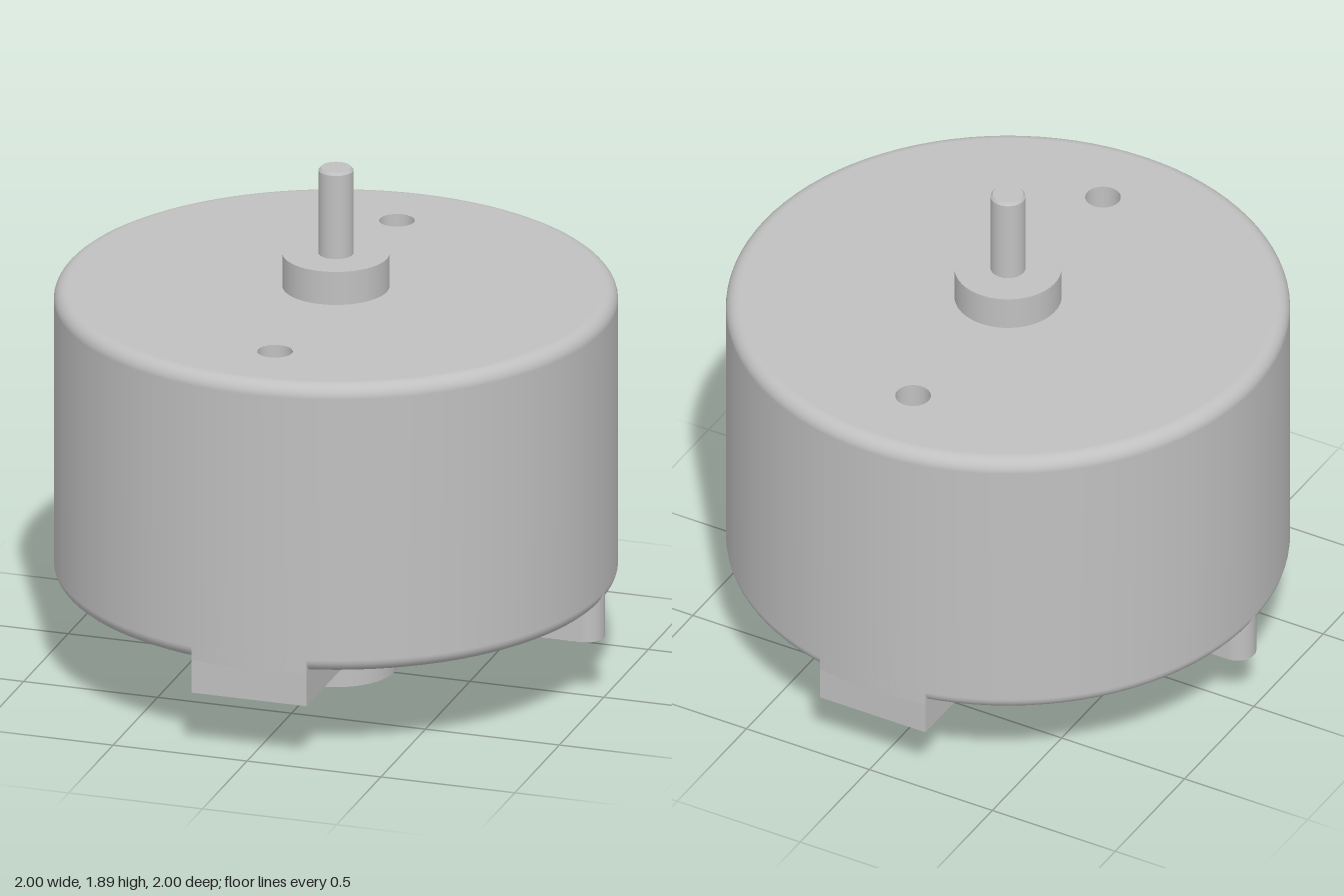
import * as THREE from 'three';

export function createModel() {
  const group = new THREE.Group();
  group.name = 'electricMotor';
  const metal = new THREE.MeshStandardMaterial({ color: 0xc0c0c0 });
  metal.name = 'grey metal';

  const add = (name, geometry, y = 0, z = 0) => {
    const mesh = new THREE.Mesh(geometry, metal);
    mesh.name = name;
    mesh.position.set(0, y, z);
    group.add(mesh);
  };
  const lathe = (points, segments = 96) =>
    new THREE.LatheGeometry(points.map(([r, y]) => new THREE.Vector2(r, y)), segments);
  const cylinder = (name, r, bottom, top) =>
    add(name, new THREE.CylinderGeometry(r, r, top - bottom, 64), (bottom + top) / 2);
  // Extrudes a plan outline upward from bottom to top
  const slab = (name, shape, bottom, top) => {
    const geometry = new THREE.ExtrudeGeometry(shape, { depth: top - bottom, bevelEnabled: false, curveSegments: 24 });
    add(name, geometry.rotateX(-Math.PI / 2), bottom);
  };

  const bottom = 0.35, top = 1.44, fillet = 0.05;
  const holeR = 0.063, holeZ = 0.685, holeDepth = 0.12;

  // Can with rounded lower and upper rims
  const arc = (cy, start) => Array.from({ length: 9 }, (_, i) => {
    const a = start + (i / 8) * Math.PI / 2;
    return [1 - fillet + fillet * Math.cos(a), cy + fillet * Math.sin(a)];
  });
  add('can', lathe([[0, bottom], ...arc(bottom + fillet, -Math.PI / 2), ...arc(top - fillet, 0)]));

  // Top face with two screw holes
  const face = new THREE.Shape().absarc(0, 0, 1 - fillet, 0, Math.PI * 2);
  for (const s of [-1, 1]) {
    face.holes.push(new THREE.Path().absarc(0, s * holeZ, holeR, 0, Math.PI * 2, true));
    // Downward profile makes the wall face inward
    add('screwHoleWall', lathe([[holeR, top], [holeR, top - holeDepth]], 48), 0, s * holeZ);
    add('screwHoleFloor', new THREE.CircleGeometry(holeR, 48).rotateX(-Math.PI / 2), top - holeDepth, s * holeZ);
  }
  add('topFace', new THREE.ShapeGeometry(face, 48).rotateX(-Math.PI / 2), top);

  // Upper bearing boss and shaft with a slightly eased tip
  cylinder('bearingBoss', 0.19, top, 1.565);
  cylinder('shaft', 0.062, 1.565, 1.88);
  add('shaftTip', new THREE.CylinderGeometry(0.054, 0.062, 0.01, 64), 1.885);

  // Lower hub
  cylinder('lowerHub', 0.216, 0, 0.225);

  // Wide rib running front to back, with flat ends
  const w = 0.215, endZ = 0.976;
  add('wideRib', new THREE.BoxGeometry(w * 2, 0.175, endZ * 2), 0.3125);

  // Square rim corners above the ends of the wide rib
  const a = Math.asin(w);
  const rim = new THREE.Shape();
  rim.absarc(0, 0, 1, Math.PI / 2 - a, Math.PI / 2 + a);
  rim.absarc(0, 0, 1, -Math.PI / 2 - a, -Math.PI / 2 + a);
  rim.closePath();
  slab('rimPads', rim, bottom, bottom + fillet);

  // Narrow rib running side to side, with rounded ends
  const n = 0.067;
  const rib = new THREE.Shape();
  rib.absarc(1 - n, 0, n, -Math.PI / 2, Math.PI / 2);
  rib.absarc(-1 + n, 0, n, Math.PI / 2, Math.PI * 1.5);
  rib.closePath();
  slab('narrowRib', rib, 0.225, 0.4);

  return group;
}
